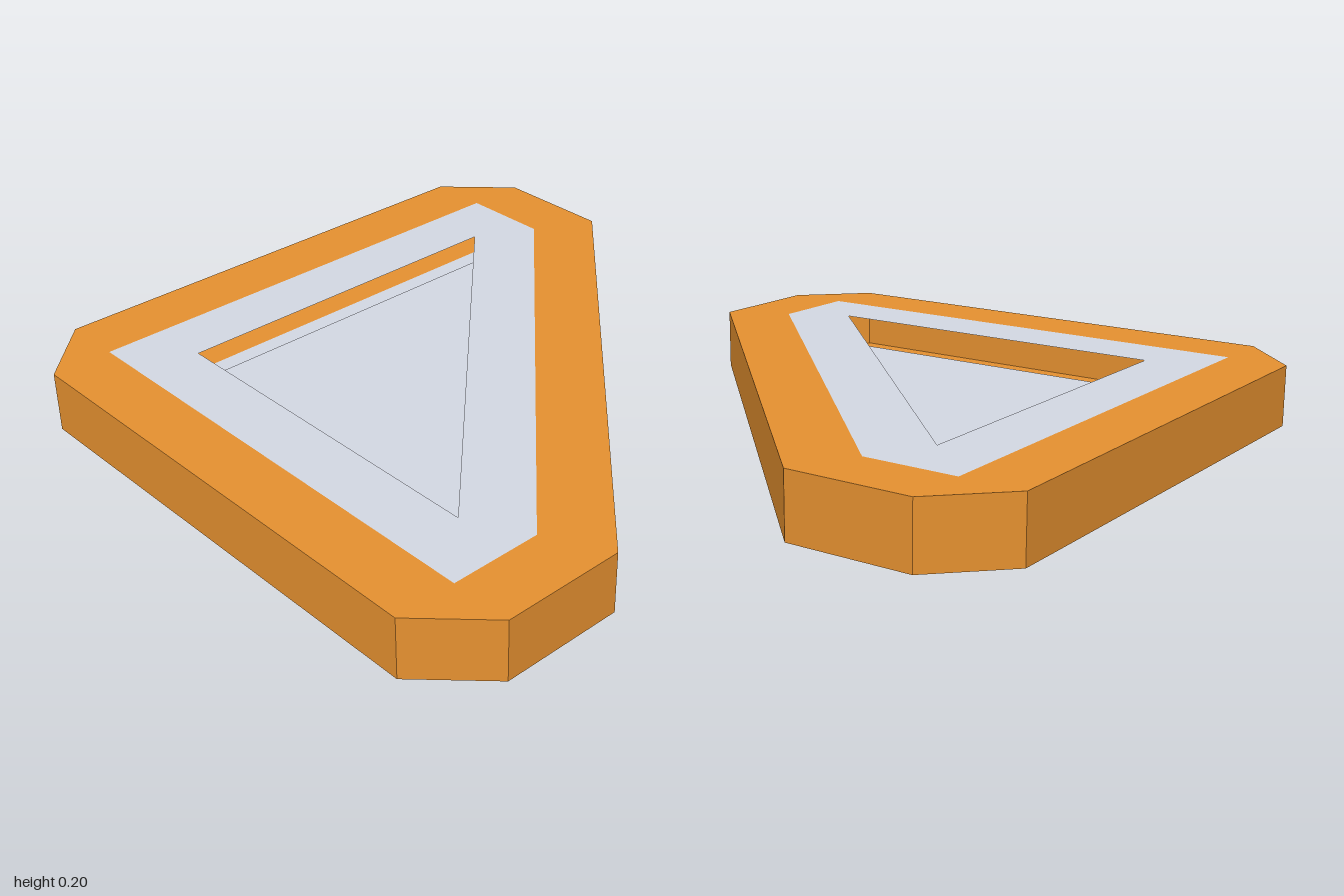
import * as THREE from 'three';
import { mergeGeometries } from 'three/addons/utils/BufferGeometryUtils.js';

const HEIGHT = 0.2, MID = 0.1;

// Outlines as [x, z] points
const outline = [[0.8, -1], [-0.8, -1], [-1, -0.8], [-1, 0.8], [-0.8, 1], [-0.4, 1], [1, -0.4], [1, -0.8]];
const panel = [[-0.8, -0.8], [0.8, -0.8], [0.8, -0.5], [-0.5, 0.8], [-0.8, 0.8]];
const opening = [[-0.6, -0.6], [0.6, -0.6], [-0.6, 0.6]];

// Flat horizontal face at height y, facing up or down, with an optional hole
function flatFace(points, hole, y, up) {
  const s = up ? -1 : 1;
  const toVectors = (list) => list.map(([x, z]) => new THREE.Vector2(x, s * z));
  const shape = new THREE.Shape(toVectors(points));
  if (hole) shape.holes.push(new THREE.Path(toVectors(hole)));
  return new THREE.ShapeGeometry(shape).rotateX(s * Math.PI / 2).translate(0, y, 0);
}

// Full-height outer side from point a to point b
function side([ax, az], [bx, bz]) {
  return new THREE.PlaneGeometry(Math.hypot(bx - ax, bz - az), HEIGHT)
    .rotateY(Math.atan2(az - bz, bx - ax))
    .translate((ax + bx) / 2, HEIGHT / 2, (az + bz) / 2);
}

export function createModel() {
  const group = new THREE.Group();
  // The shell is hollow and open, so its inner faces show through the opening
  const material = (name, color) =>
    new THREE.MeshStandardMaterial({ name, color, side: THREE.DoubleSide });
  const orange = material('orange', 0xe69130);
  const grey = material('lightGrey', 0xd4d9e4);

  const add = (name, geometries, mat) => {
    const mesh = new THREE.Mesh(mergeGeometries(geometries), mat);
    mesh.name = name;
    group.add(mesh);
  };

  // Rim: top and bottom borders plus the eight outer sides
  add('rim', [
    flatFace(outline, panel, HEIGHT, true),
    flatFace(outline, panel, 0, false),
    ...outline.map((p, i) => side(p, outline[(i + 1) % outline.length])),
  ], orange);

  // Grey borders around the triangular openings, top and bottom
  add('panelBorder', [
    flatFace(panel, opening, HEIGHT, true),
    flatFace(panel, opening, 0, false),
  ], grey);

  // Thin triangular sheet floating at mid-height behind both openings
  add('centrePanel', [flatFace(opening, null, MID, true)], grey);

  return group;
}
